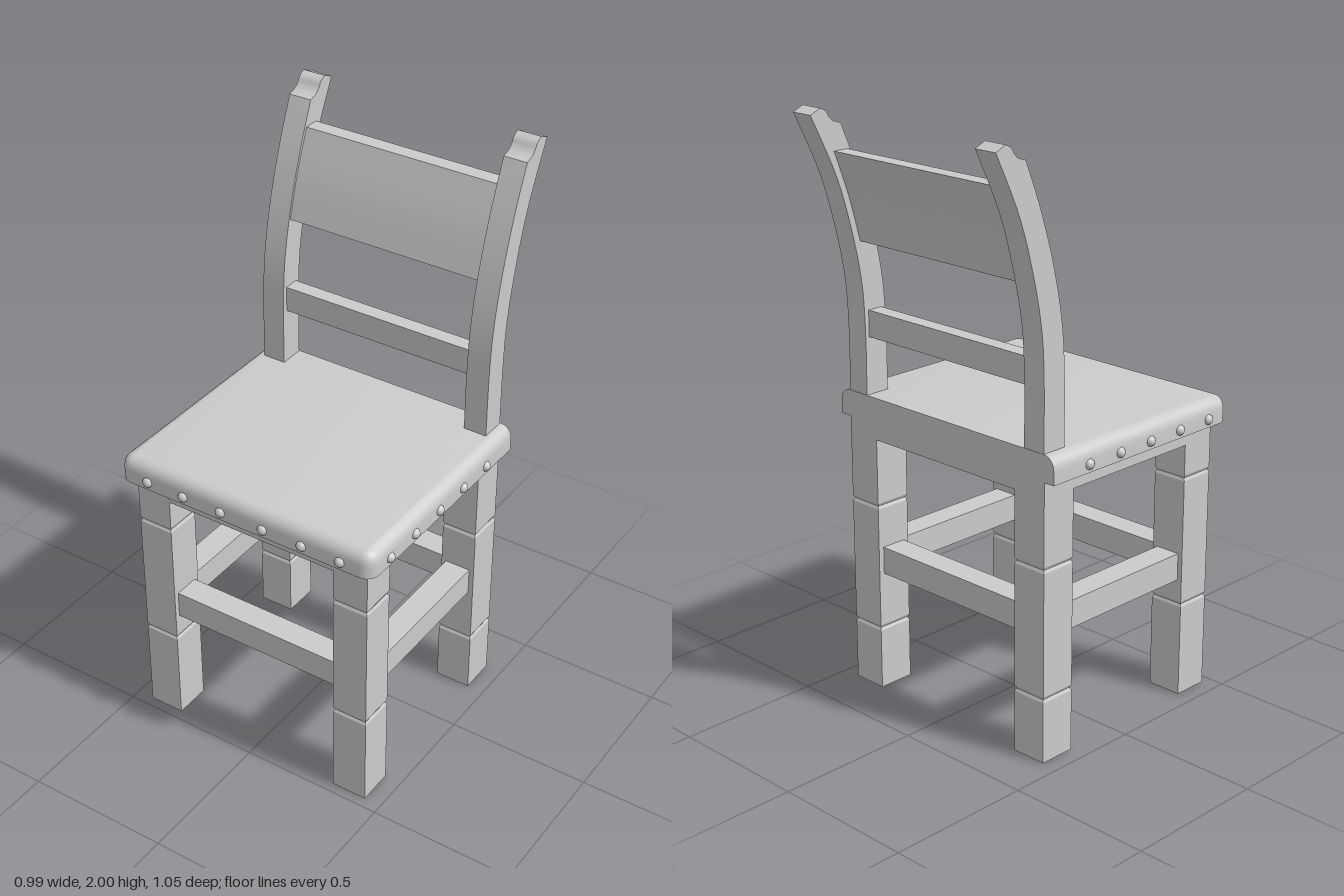
import * as THREE from 'three';
import { toCreasedNormals } from 'three/addons/utils/BufferGeometryUtils.js';

const BACK = -0.325;

export function createModel() {
  const chair = new THREE.Group();
  chair.name = 'chair';
  const wood = new THREE.MeshStandardMaterial({ color: 0xcccccc });

  const add = (name, geo, x = 0, y = 0, z = 0) => {
    const mesh = new THREE.Mesh(geo, wood);
    mesh.name = name;
    mesh.position.set(x, y, z);
    chair.add(mesh);
    return mesh;
  };
  // box given by its lower and upper limits
  const box = (name, x0, x1, y0, y1, z0, z1) =>
    add(name, new THREE.BoxGeometry(x1 - x0, y1 - y0, z1 - z0), (x0 + x1) / 2, (y0 + y1) / 2, (z0 + z1) / 2);

  // square leg with shallow V grooves around it
  const leg = (w, d, grooves) => {
    const s = Math.SQRT1_2;
    const pts = [[0, 0], [s, 0]];
    for (const y of grooves) pts.push([s, y - 0.01], [s * 0.92, y], [s, y + 0.01]);
    pts.push([s, 0.95], [0, 0.95]);
    const geo = new THREE.LatheGeometry(pts.map(p => new THREE.Vector2(...p)), 4);
    geo.rotateY(Math.PI / 4);
    geo.scale(w, 1, d);
    return toCreasedNormals(geo, 0.2);
  };

  // side profile of [z, y] points, extruded along x from x0 to x1
  const sideProfile = (points, x0, x1) => {
    const shape = new THREE.Shape(points.map(([z, y]) => new THREE.Vector2(-z, y)));
    const geo = new THREE.ExtrudeGeometry(shape, { depth: x1 - x0, bevelEnabled: false });
    geo.rotateY(Math.PI / 2);
    geo.translate(x0, 0, 0);
    return toCreasedNormals(geo, 0.45);
  };
  const smooth = (points, n) =>
    new THREE.SplineCurve(points.map(p => new THREE.Vector2(...p))).getPoints(n).map(p => [p.x, p.y]);

  // legs
  for (const side of [1, -1]) {
    add('frontLeg', leg(0.125, 0.127, [0.33, 0.78]), side * 0.377, 0, 0.402);
    add('backLeg', leg(0.125, 0.13, [0.22, 0.66]), side * 0.377, 0, BACK + 0.065);
  }

  // seat frame, and the back rail level with the seat
  box('seatFrame', -0.439, 0.439, 0.895, 0.955, BACK, 0.465);
  box('backRail', -0.439, 0.439, 0.895, 1.038, BACK, BACK + 0.04);

  // stretchers, centred on the legs
  for (const z of [0.402, -0.26]) box('crossStretcher', -0.32, 0.32, 0.415, 0.51, z - 0.045, z + 0.045);
  for (const x of [0.377, -0.377]) box('sideStretcher', x - 0.045, x + 0.045, 0.415, 0.51, -0.2, 0.345);

  add('seat', seatGeometry());

  // studs along the front and sides of the seat
  const stud = new THREE.SphereGeometry(0.018, 14, 10);
  for (const x of [0.08, 0.225, 0.365])
    for (const side of [1, -1]) add('stud', stud, side * x, 0.978, 0.504);
  for (let i = 0; i < 5; i++)
    for (const side of [1, -1]) add('stud', stud, side * 0.477, 0.978, 0.402 - i * 0.1425);

  // curved back posts with a notched top
  const postFront = smooth([[-0.235, 0.95], [-0.235, 1.1], [-0.236, 1.25], [-0.247, 1.42],
    [-0.283, 1.6], [-0.34, 1.785], [-0.405, 1.945]], 28);
  const postTop = smooth([[-0.437, 1.955], [-0.452, 1.97], [-0.463, 1.988], [-0.485, 2]], 8);
  const postBack = smooth([[-0.525, 1.983], [-0.43, 1.785], [-0.372, 1.6],
    [-0.335, 1.42], [BACK, 1.25], [BACK, 1.1], [BACK, 0.95]], 28);
  const post = [...postFront, ...postTop, ...postBack];
  add('backPost', sideProfile(post, 0.355, 0.437));
  add('backPost', sideProfile(post, -0.437, -0.355));

  // curved slat and straight rail between the posts
  const slat = [
    ...smooth([[-0.282, 1.568], [-0.325, 1.715], [-0.38, 1.86]], 12),
    ...smooth([[-0.435, 1.86], [-0.38, 1.71], [-0.338, 1.558]], 12)];
  add('backSlat', sideProfile(slat, -0.36, 0.36));
  box('backCrossRail', -0.36, 0.36, 1.235, 1.325, -0.31, -0.255);

  return chair;
}

// cushioned seat: stacked outlines, square at the back, rounded at the front corners and top edge
function seatGeometry() {
  const levels = [[0, 0.95], [0, 0.995]];
  for (let i = 1; i <= 6; i++) {
    const a = (i / 6) * Math.PI / 2;
    levels.push([0.04 * (1 - Math.cos(a)), 0.997 + 0.043 * Math.sin(a)]);
  }
  const arc = 6, pos = [], idx = [];
  for (const [d, y] of levels) {
    const w = 0.48 - d, f = 0.507 - d, r = 0.045 - d;
    pos.push(w, y, BACK - 0.002, -w, y, BACK - 0.002);
    for (const side of [-1, 1])
      for (let i = 0; i <= arc; i++) {
        const t = Math.PI / 2 * (side < 0 ? 2 - i / arc : 1 - i / arc);
        pos.push(side * (w - r) + r * Math.cos(t), y, f - r + r * Math.sin(t));
      }
  }
  const n = 2 + 2 * (arc + 1), last = (levels.length - 1) * n, bottom = levels.length * n;
  pos.push(0, 0.95, 0.09, 0, 1.04, 0.09);
  for (let j = 0; j < n; j++) {
    const k = (j + 1) % n;
    for (let o = 0; o < last; o += n) idx.push(o + j, o + k, o + n + k, o + j, o + n + k, o + n + j);
    idx.push(bottom, k, j, bottom + 1, last + j, last + k);
  }
  const geo = new THREE.BufferGeometry();
  geo.setAttribute('position', new THREE.Float32BufferAttribute(pos, 3));
  geo.setIndex(idx);
  return toCreasedNormals(geo, 0.6);
}
